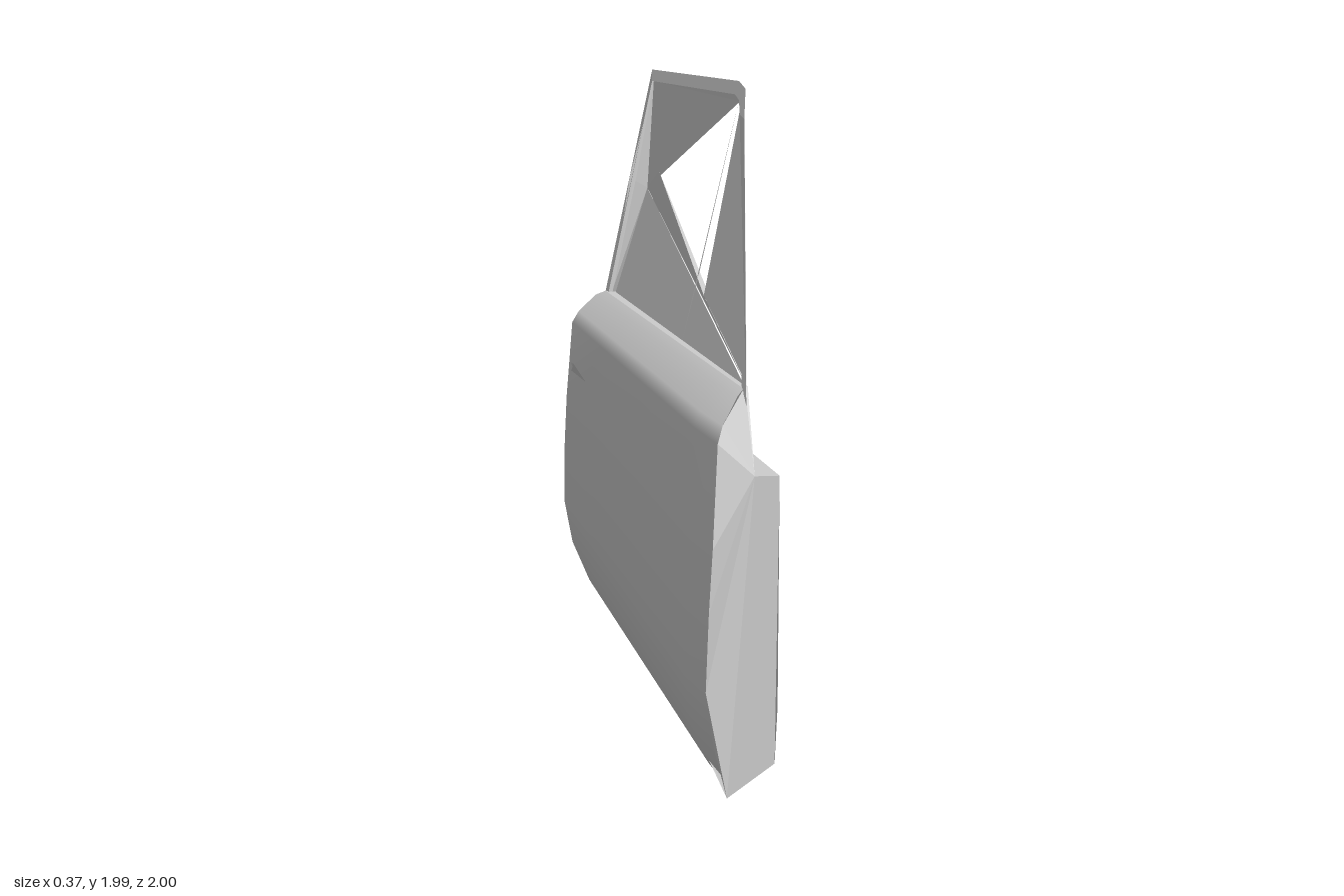
import * as THREE from 'three';

const paint = new THREE.MeshStandardMaterial({ color: 0xcccccc, side: THREE.DoubleSide });
paint.name = 'light grey paint';

// Flat fan polygons, each a list of [x, y, z] corners
function faces(name, polys) {
  const pos = [];
  for (const p of polys)
    for (let i = 1; i < p.length - 1; i++) pos.push(...p[0], ...p[i], ...p[i + 1]);
  const g = new THREE.BufferGeometry();
  g.setAttribute('position', new THREE.Float32BufferAttribute(pos, 3));
  g.computeVertexNormals();
  const m = new THREE.Mesh(g, paint);
  m.name = name;
  return m;
}

// Smooth surface joining rows of equal length
function loft(name, rows) {
  const n = rows[0].length, index = [];
  for (let r = 0; r < rows.length - 1; r++)
    for (let c = 0; c < n - 1; c++) {
      const a = r * n + c, b = a + n;
      index.push(a, a + 1, b, b, a + 1, b + 1);
    }
  const g = new THREE.BufferGeometry();
  g.setAttribute('position', new THREE.Float32BufferAttribute(rows.flat(2), 3));
  g.setIndex(index);
  g.computeVertexNormals();
  const m = new THREE.Mesh(g, paint);
  m.name = name;
  return m;
}

// Inward lean of the window frame at height y
function lean(y) {
  return y < 1.72 ? -0.015 + (y - 1.18) * 0.175 : 0.08 + (y - 1.72) * 0.32;
}

export function createModel() {
  const door = new THREE.Group();
  door.name = 'carDoor';

  // Outer skin: profile rows [x, y, front z], swept to the rear edge
  const profile = [
    [-0.06, 0, 0.82], [-0.085, 0.04, 0.92], [-0.15, 0.2, 0.96], [-0.18, 0.37, 0.985],
    [-0.175, 0.6, 0.995], [-0.165, 0.78, 0.995], [-0.14, 1.06, 0.95],
    [-0.115, 1.1, 0.91], [-0.05, 1.16, 0.83], [-0.02, 1.18, 0.8],
  ];
  const skinRow = ([x, y, zf]) => [0, 0.1, 0.35, 0.7, 1].map((t) => {
    const zr = y > 1.17 ? -0.96 : -1;
    return [x + (t === 0 ? 0.012 : 0), y, zf + (zr - zf) * t];
  });
  door.add(loft('outerSkin', profile.map(skinRow)));

  // Shared corners of the inner shell
  const railFront = [-0.03, 0.97, 0.97], railRear = [0.05, 0.955, -0.9];
  const beltFront = [0, 1.18, 0.8], beltRear = [0.02, 1.18, -0.92];
  const toeFront = [-0.11, 0.06, 1], footFront = [0.06, 0.1, 0.9];
  const footRear = [0.06, 0.09, -0.9];
  const trimTop = [0.06, 0.95, 0.91];
  const edge = profile.map(([x, y, z]) => [x + 0.012, y, z]);

  // Upper inner panel and the ledge above the trim
  door.add(faces('upperInnerPanel', [
    [railFront, railRear, beltRear, beltFront],
    [railFront, trimTop, [0.06, 0.95, -0.9], railRear],
    [[-0.02, 1.18, 0.8], beltFront, beltRear, [-0.02, 1.18, -0.96]],
  ]));

  // Front jamb, closing the shell between skin and trim
  door.add(faces('frontJamb', [
    [railFront, toeFront, footFront],
    [railFront, footFront, trimTop],
    [railFront, edge[5], edge[4], edge[3], toeFront],
    [railFront, beltFront, edge[9], edge[7], edge[6], edge[5]],
    [toeFront, edge[3], edge[2], edge[1]],
    [footFront, [0.06, 0.28, 0.92], [0.06, 0.09, 0.74]],
  ]));
  door.add(faces('bottomPanel', [[toeFront, footFront, footRear, [0.02, 0.1, -0.92]]]));

  // Rear jamb
  door.add(faces('rearJamb', [
    [beltRear, railRear, [-0.05, 0.13, -0.93], [-0.165, 0.4, -0.945], [-0.16, 0.78, -0.95], [-0.135, 1.06, -0.95]],
    [railRear, footRear, [-0.05, 0.13, -0.93]],
    [beltRear, [-0.135, 1.06, -0.95], [-0.14, 1.06, -1], [-0.05, 1.16, -1], [-0.02, 1.18, -0.96]],
  ]));

  // Inner trim with a clipped front corner
  door.add(faces('innerTrim', [[
    trimTop, [0.06, 0.28, 0.92], [0.06, 0.09, 0.74], footRear, [0.06, 0.95, -0.9],
  ]]));

  // Storage pocket, open at the top
  door.add(loft('doorPocket', [
    [[0.062, 0.3, 0.76], [0.1, 0.375, 0], [0.062, 0.3, -0.7]],
    [[0.062, 0.09, 0.74], [0.066, 0.09, 0], [0.062, 0.09, -0.88]],
  ]));

  // Inside handles and outside handle
  door.add(faces('windowCrank', [[[0.11, 0.7, 0.68], [0.14, 0.69, 0.64], [0.14, 0.66, 0.62]]]));
  door.add(faces('insideHandle', [
    [[0.08, 0.5, 0.36], [0.08, 0.5, 0.3], [0.075, 0.545, 0.325]],
    [[0.08, 0.51, 0.44], [0.08, 0.5, 0.44], [0.08, 0.5, 0.34], [0.08, 0.51, 0.34]],
  ]));
  door.add(faces('outsideHandle', [
    [[-0.16, 0.9, -0.66], [-0.195, 0.96, -0.7], [-0.17, 0.9, -0.88]],
    [[-0.195, 0.96, -0.7], [-0.17, 0.93, -0.88], [-0.16, 0.9, -0.88]],
  ]));

  // Window frame: outer and inner outlines as [z, y], with a thin inner return
  const outer = [[0.86, 1.14], [0.31, 1.88], [0.23, 1.965], [0.14, 1.985], [-0.98, 1.99], [-0.98, 1.17]];
  const inner = [[0.79, 1.18], [0.25, 1.89], [0.2, 1.93], [0.14, 1.945], [-0.93, 1.95], [-0.93, 1.17]];
  const at = (dx) => ([z, y]) => [lean(y) + dx, y, z];
  const frame = [];
  for (let i = 0; i < outer.length - 1; i++) {
    const [a, b] = [outer[i], outer[i + 1]], [c, d] = [inner[i + 1], inner[i]];
    frame.push([a, b, c, d].map(at(0)));
    frame.push([at(0)(d), at(0)(c), at(0.015)(c), at(0.015)(d)]);
  }
  door.add(faces('windowFrame', frame));

  // Panels around the window opening
  const rearCorner = [0.13, 1.565, -0.91], topFront = [0.16, 1.925, 0.17];
  const sill = [0.02, 1.35, 0.27], openRear = [0.115, 1.645, -0.67];
  const topRear = [0.16, 1.95, -0.93];
  door.add(faces('upperWindowPanel', [[topFront, rearCorner, topRear, [0.16, 1.945, 0.14]]]));
  door.add(faces('quarterWindow', [[[0.16, 1.92, 0.18], [-0.005, 1.2, 0.77], sill]]));
  door.add(faces('lowerWindowPanel', [
    [[-0.005, 1.19, 0.78], rearCorner, openRear, sill],
    [[-0.005, 1.18, 0.78], [0.01, 1.18, -0.92], rearCorner],
  ]));
  door.add(faces('rearFramePillar', [
    [topRear, rearCorner, [0.07, 1.6, -0.94]],
    [rearCorner, [0.01, 1.17, -0.92], [0, 1.17, -0.95], [0.07, 1.6, -0.94]],
  ]));

  // Slim bar dividing the window
  door.add(faces('windowDivider', [
    [[0.17, 1.935, 0.13], [-0.02, 1.2, 0.17], [0.04, 1.37, 0.12]],
  ]));

  return door;
}
